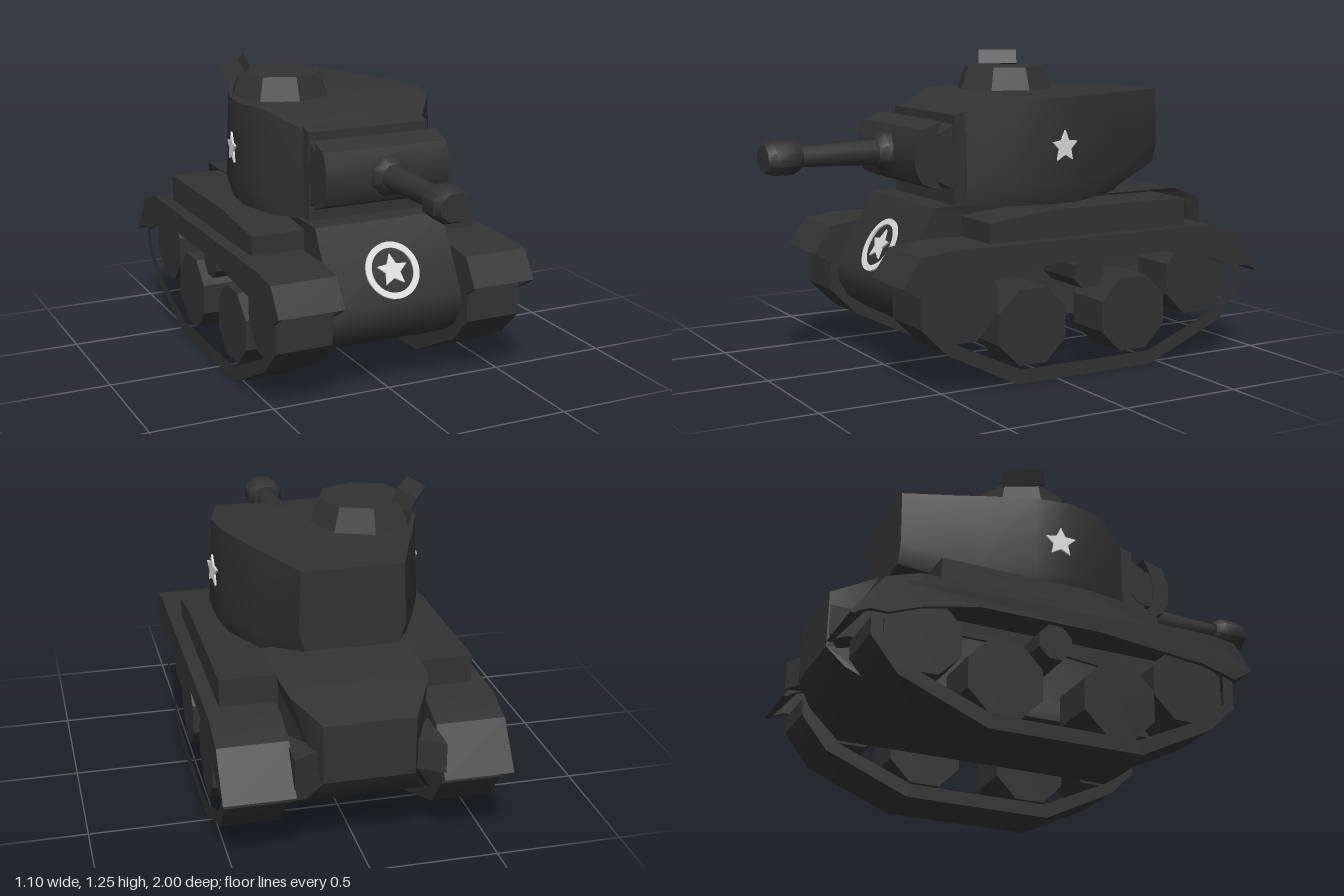
import * as THREE from 'three';
import { toCreasedNormals } from 'three/addons/utils/BufferGeometryUtils.js';

const paint = new THREE.MeshStandardMaterial({ color: 0x333333 });
paint.name = 'dark paint';
const white = new THREE.MeshStandardMaterial({ color: 0xdddddd });
white.name = 'marking white';

const shapeOf = (pts) => new THREE.Shape(pts.map(([a, b]) => new THREE.Vector2(a, b)));

// Extrudes a side profile of [z, y] points across x0..x1
function profile(pts, x0, x1, hole) {
  const shape = shapeOf(pts);
  if (hole) shape.holes.push(shapeOf(hole));
  const geo = new THREE.ExtrudeGeometry(shape, { depth: x1 - x0, bevelEnabled: false });
  return geo.rotateY(-Math.PI / 2).translate(x1, 0, 0);
}

// Joins closed cross-sections, ordered front to back, and caps both ends
function loft(rings) {
  const n = rings[0].length, idx = [];
  for (let i = 0; i < rings.length - 1; i++) {
    for (let j = 0; j < n; j++) {
      const a = i * n + j, b = i * n + (j + 1) % n, d = a + n, c = b + n;
      idx.push(a, d, c, a, c, b);
    }
  }
  const last = (rings.length - 1) * n;
  for (let j = 1; j < n - 1; j++) idx.push(0, j, j + 1, last, last + j + 1, last + j);
  const geo = new THREE.BufferGeometry();
  geo.setAttribute('position', new THREE.Float32BufferAttribute(rings.flat(2), 3));
  geo.setIndex(idx);
  return geo;
}

function starShape(r) {
  const pts = [];
  for (let i = 0; i < 10; i++) {
    const a = Math.PI / 2 + i * Math.PI / 5, k = i % 2 ? r * 0.48 : r;
    pts.push([Math.cos(a) * k, Math.sin(a) * k]);
  }
  return shapeOf(pts);
}
const plate = (shape) => new THREE.ExtrudeGeometry(shape, { depth: 0.008, bevelEnabled: false, curveSegments: 16 });

export function createModel() {
  const group = new THREE.Group();
  const add = (name, geo, mat = paint, crease = 0.6) => {
    const mesh = new THREE.Mesh(toCreasedNormals(geo, crease), mat);
    mesh.name = name;
    group.add(mesh);
    return mesh;
  };

  // Hull, narrowing toward the tail
  const hull = profile([[0.41, 0.675], [-0.74, 0.675], [-0.8, 0.655], [-0.965, 0.6], [-0.965, 0.37],
    [-0.9, 0.28], [-0.76, 0.187], [0.45, 0.187], [0.53, 0.24], [0.572, 0.31], [0.575, 0.38]], -0.28, 0.28);
  const p = hull.attributes.position;
  for (let i = 0; i < p.count; i++) {
    const z = p.getZ(i);
    if (z < -0.78) p.setX(i, Math.sign(p.getX(i)) * (z < -0.95 ? 0.175 : z < -0.85 ? 0.22 : 0.265));
  }
  add('hull', hull);

  // Running gear and fenders, one set per side
  const fenderTop = [[0.68, 0.43], [0.605, 0.54], [0.48, 0.555], [-0.73, 0.555], [-0.87, 0.51], [-0.995, 0.34]];
  const fenderUnder = [[-0.975, 0.34], [-0.86, 0.485], [-0.73, 0.525], [0.48, 0.525], [0.595, 0.515], [0.66, 0.43]];
  const skirt = [...fenderTop, [-0.92, 0.37], [-0.85, 0.37], [-0.72, 0.42], [-0.5, 0.465],
    [0, 0.465], [0.46, 0.42], [0.6, 0.38]];
  const outer = [[0.6, 0.42], [0.6, 0.265], [0.49, 0.155], [0.18, 0], [-0.45, 0], [-0.8, 0.145],
    [-0.91, 0.28], [-0.91, 0.35], [-0.83, 0.45], [-0.7, 0.5], [0.5, 0.5]];
  const inner = [[0.555, 0.4], [0.555, 0.275], [0.45, 0.19], [0.165, 0.057], [-0.435, 0.057], [-0.77, 0.19],
    [-0.865, 0.295], [-0.865, 0.35], [-0.8, 0.42], [-0.69, 0.47], [0.48, 0.47]];

  for (const s of [1, -1]) {
    const side = s > 0 ? 'left ' : 'right ';
    const across = (pts, a, b, hole) => profile(pts, Math.min(a * s, b * s), Math.max(a * s, b * s), hole);
    add(side + 'track', across(outer, 0.295, 0.53, inner));
    add(side + 'fender', across([...fenderTop, ...fenderUnder], 0.28, 0.55));
    add(side + 'outer skirt', across(skirt, 0.532, 0.55));
    add(side + 'inner skirt', across(skirt, 0.28, 0.294));
    add(side + 'stowage box', across([[0.287, 0.54], [0.287, 0.635], [-0.02, 0.667], [-0.635, 0.667], [-0.635, 0.54]], 0.27, 0.495));

    // Filler between the rear fender and the narrowing tail
    const filler = new THREE.ExtrudeGeometry(shapeOf([[0.285 * s, 0.76], [0.285 * s, 0.99], [0.175 * s, 0.925]]),
      { depth: 0.12, bevelEnabled: false });
    add(side + 'tail filler', filler.rotateX(-Math.PI / 2).translate(0, 0.37, 0));

    // Wheels: [name, z, y, radius, x from, x to]
    for (const [name, z, y, r, a, b] of [
      ['front sprocket', 0.41, 0.335, 0.163, 0.3, 0.5], ['front road wheel', 0.1, 0.217, 0.163, 0.3, 0.51],
      ['rear road wheel', -0.375, 0.217, 0.163, 0.3, 0.51], ['rear idler', -0.7, 0.335, 0.163, 0.3, 0.5],
      ['return roller', -0.165, 0.41, 0.075, 0.27, 0.5]]) {
      const wheel = new THREE.CylinderGeometry(r, r, b - a, 8).rotateY(Math.PI / 8).rotateZ(Math.PI / 2);
      add(side + name, wheel.translate(s * (a + b) / 2, y, z));
    }

    // Turret side star
    const star = add(side + 'turret star', plate(starShape(0.066)), white);
    star.position.set(s * 0.414, 0.9, -0.1);
    star.rotation.set(0, s * (Math.PI / 2 + 0.13), 0);
  }

  // Turret: [z, bottom y, top y, bottom, middle and top half-widths]
  const turret = [
    [0.26, 0.67, 1.03, 0.26, 0.268, 0.26], [0.12, 0.67, 1.095, 0.355, 0.378, 0.365],
    [-0.05, 0.67, 1.095, 0.395, 0.425, 0.41], [-0.2, 0.67, 1.095, 0.375, 0.403, 0.388],
    [-0.42, 0.685, 1.095, 0.29, 0.318, 0.305], [-0.47, 0.71, 1.095, 0.268, 0.295, 0.283],
    [-0.7, 0.78, 1.095, 0.18, 0.205, 0.195]
  ].map(([z, b, t, wb, wm, wt]) => {
    const m = b + 0.08;
    return [[wb, b, z], [wm, m, z], [wt, t, z], [-wt, t, z], [-wm, m, z], [-wb, b, z]];
  });
  add('turret', loft(turret), paint, 0.8);

  // Turret front plate, neck and curved gun shield
  add('turret front plate', profile([[0.25, 0.675], [0.31, 0.675], [0.31, 1.03], [0.25, 1.045]], -0.26, 0.26));
  add('shield neck', profile([[0.3, 0.73], [0.37, 0.77], [0.37, 0.96], [0.3, 1.0]], -0.255, 0.255));
  add('gun shield', profile([[0.365, 1.008], [0.455, 0.98], [0.48, 0.92], [0.485, 0.87], [0.48, 0.82],
    [0.455, 0.77], [0.365, 0.735], [0.4, 0.8], [0.41, 0.87], [0.4, 0.94]], -0.265, 0.265));
  add('shield pivot', new THREE.CylinderGeometry(0.08, 0.08, 0.52, 12).rotateZ(Math.PI / 2).translate(0, 0.87, 0.38));

  // Gun
  const gunPart = (name, pts, sx = 1) => {
    const geo = new THREE.LatheGeometry(pts.map(([r, z]) => new THREE.Vector2(r, z)), 8, Math.PI / 8);
    return add(name, geo.rotateX(Math.PI / 2).scale(sx, 1, 1).translate(0, 0.873, 0), paint, 0.9);
  };
  gunPart('gun collar', [[0, 0.44], [0.08, 0.44], [0.08, 0.5], [0.055, 0.53], [0, 0.53]]);
  gunPart('gun barrel', [[0.054, 0.5], [0.042, 0.87]]);
  gunPart('muzzle', [[0, 0.855], [0.05, 0.855], [0.07, 0.89], [0.07, 0.97], [0.055, 1], [0, 1]], 1.2);

  // Commander's hatch and the box on its rim
  add('hatch ring', new THREE.CylinderGeometry(0.176, 0.214, 0.105, 8).translate(-0.175, 1.137, -0.17));
  const scope = add('hatch scope', new THREE.BoxGeometry(0.085, 0.065, 0.165));
  scope.position.set(-0.347, 1.203, -0.235);
  scope.rotation.set(0, -0.5, 0.45);

  // Front emblem: star in a ring, lying on the sloped plate
  const ring = new THREE.Shape().absarc(0, 0, 0.115, 0, Math.PI * 2);
  ring.holes.push(new THREE.Path().absarc(0, 0, 0.09, 0, Math.PI * 2, true));
  for (const [name, shape] of [['front ring', ring], ['front star', starShape(0.068)]]) {
    const mark = add(name, plate(shape), white);
    mark.position.set(0.004, 0.495, 0.511);
    mark.rotation.x = -0.517;
  }
  return group;
}
